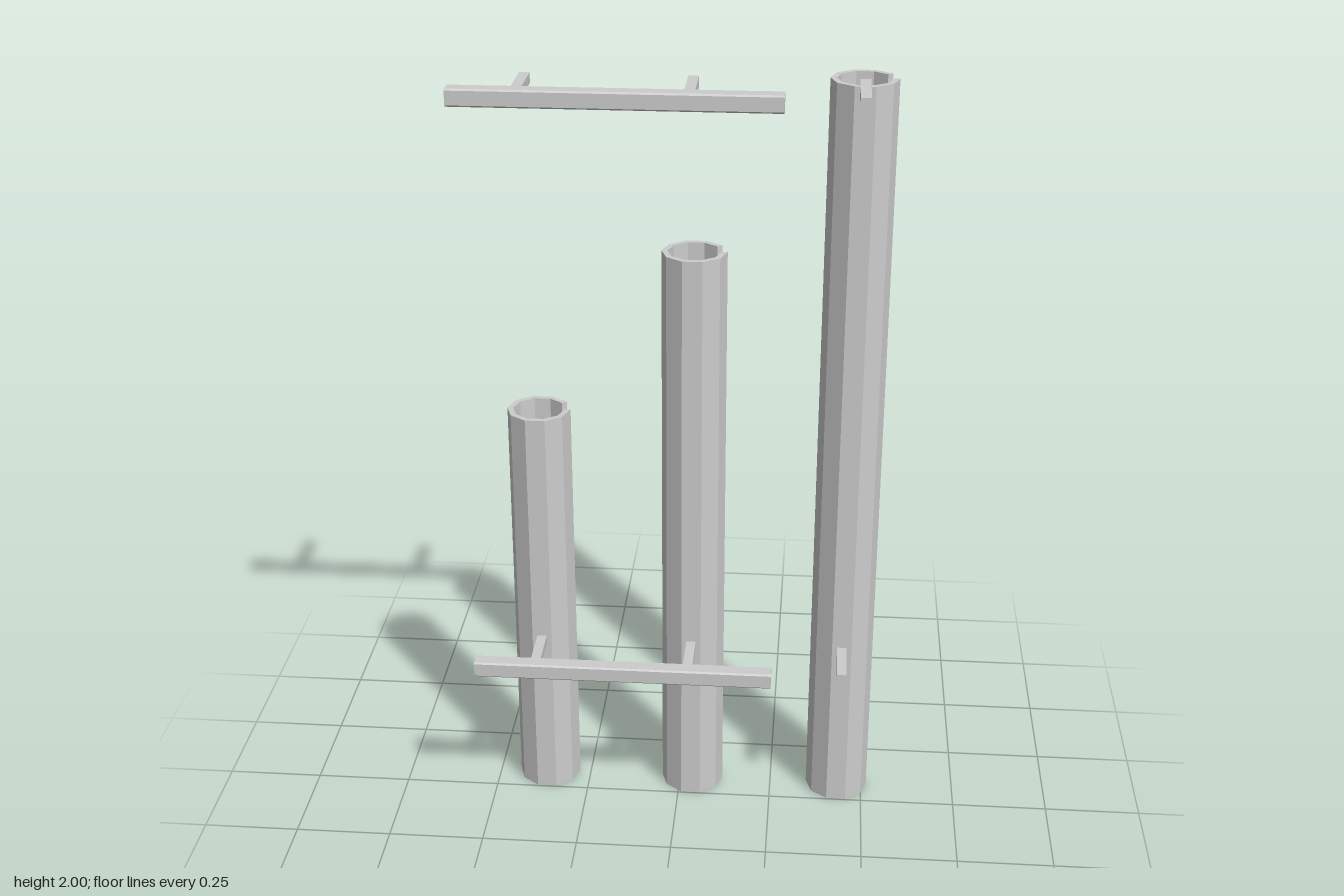
import * as THREE from 'three';

const steel = new THREE.MeshStandardMaterial({ color: 0xcccccc });
steel.name = 'light grey metal';

const columns = [
  { x: -0.363, height: 1.105 },
  { x: 0.034, height: 1.54 },
  { x: 0.432, height: 1.977 },
];
const levels = [0.466, 1.975];
const tubeZ = -0.084;

// Ten-sided pipe with one side left open toward the back right, slightly wider at the foot
function slottedTube(height) {
  const points = [];
  const ring = (i, r) => {
    const a = (i * Math.PI) / 5;
    points.push(new THREE.Vector2(Math.cos(a) * r, Math.sin(a) * r));
  };
  for (let i = 1; i <= 10; i++) ring(i, 0.083);
  for (let i = 10; i >= 1; i--) ring(i, 0.068);
  const geo = new THREE.ExtrudeGeometry(new THREE.Shape(points), { depth: height, bevelEnabled: false });
  geo.rotateX(-Math.PI / 2);
  const p = geo.attributes.position;
  for (let i = 0; i < p.count; i++) {
    const s = 1 - 0.02 * (p.getY(i) / height);
    p.setX(i, p.getX(i) * s);
    p.setZ(i, p.getZ(i) * s);
  }
  geo.computeVertexNormals();
  return geo;
}

// Square bar along x with lightly chamfered long edges
function railGeometry(length, size, chamfer) {
  const h = size / 2, k = h - chamfer;
  const shape = new THREE.Shape([
    [h, -k], [h, k], [k, h], [-k, h], [-h, k], [-h, -k], [-k, -h], [k, -h],
  ].map(([x, y]) => new THREE.Vector2(x, y)));
  const geo = new THREE.ExtrudeGeometry(shape, { depth: length, bevelEnabled: false });
  geo.translate(0, 0, -length / 2);
  return geo.rotateY(Math.PI / 2);
}

export function createModel() {
  const group = new THREE.Group();
  group.name = 'slottedPipes';
  const add = (name, geo, x, y, z) => {
    const mesh = new THREE.Mesh(geo, steel);
    mesh.name = name;
    mesh.position.set(x, y, z);
    group.add(mesh);
  };

  // Pipes of rising height
  columns.forEach((c) => add('pipe', slottedTube(c.height), c.x, 0, tubeZ));

  // Pegs run from inside each pipe out to the front
  const peg = new THREE.BoxGeometry(0.025, 0.025, 0.165);
  for (const y of levels) {
    columns.forEach((c) => add('peg', peg, c.x, y, 0.0475));
  }

  // Rails join the pegs of the two shorter columns
  const rail = railGeometry(0.768, 0.042, 0.004);
  for (const y of levels) add('rail', rail, -0.133, y, 0.139);

  return group;
}
